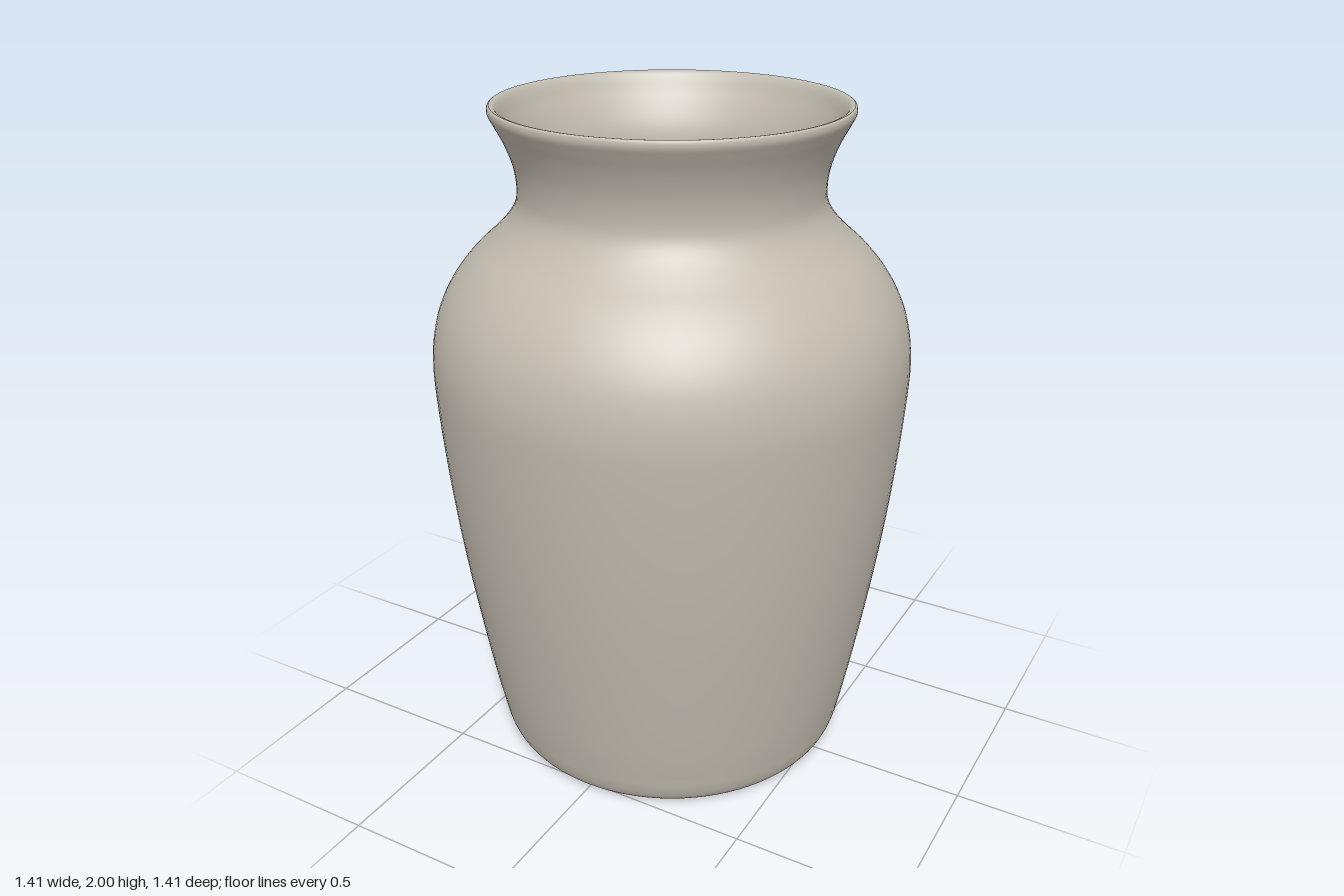
import * as THREE from 'three';

const SEGMENTS = 96;

// Smooth curve through [radius, height] pairs
function smooth(pairs, samples) {
  const pts = pairs.map(([r, y]) => new THREE.Vector3(r, y, 0));
  return new THREE.CatmullRomCurve3(pts, false, 'centripetal')
    .getPoints(samples)
    .map((p) => new THREE.Vector2(Math.max(p.x, 0), p.y));
}

export function createModel() {
  const group = new THREE.Group();
  group.name = 'vase';
  const clay = new THREE.MeshStandardMaterial({ color: 0xc2bcb0 });
  clay.name = 'warm grey clay';

  function turned(name, points) {
    const mesh = new THREE.Mesh(new THREE.LatheGeometry(points, SEGMENTS), clay);
    mesh.name = name;
    group.add(mesh);
  }

  // Underside: shallow recess inside a rounded foot ring
  turned('underside', [
    new THREE.Vector2(0, 0.025),
    new THREE.Vector2(0.2, 0.025),
    ...smooth([[0.35, 0.025], [0.365, 0.022], [0.385, 0.006], [0.41, 0], [0.48, 0]], 16),
  ]);

  // Outer wall: foot, tapering body, shoulder, neck and flared lip
  const outer = [
    [0.48, 0], [0.512, 0.006], [0.535, 0.028], [0.55, 0.065], [0.56, 0.11],
    [0.58, 0.21], [0.616, 0.42], [0.648, 0.63], [0.673, 0.83], [0.692, 1.03],
    [0.703, 1.2], [0.704, 1.27], [0.697, 1.34], [0.676, 1.42], [0.635, 1.5],
    [0.575, 1.575], [0.51, 1.635], [0.465, 1.685], [0.442, 1.73], [0.438, 1.78],
    [0.447, 1.84], [0.471, 1.905], [0.497, 1.955], [0.509, 1.98], [0.508, 1.996],
    [0.503, 2],
  ];
  turned('outerWall', smooth(outer, 110));

  // Rim and inner wall, running down to a flat floor
  const inner = [
    [0.503, 2], [0.492, 1.997], [0.482, 1.985], [0.465, 1.95], [0.44, 1.9],
    [0.417, 1.84], [0.409, 1.78], [0.413, 1.72], [0.438, 1.67], [0.485, 1.617],
    [0.55, 1.555], [0.608, 1.485], [0.648, 1.41], [0.668, 1.335], [0.674, 1.265],
    [0.673, 1.2], [0.662, 1.03], [0.643, 0.83], [0.618, 0.63], [0.586, 0.42],
    [0.55, 0.21], [0.53, 0.11], [0.51, 0.07], [0.47, 0.052], [0.42, 0.05],
  ];
  turned('innerWall', [
    ...smooth(inner, 100),
    new THREE.Vector2(0.2, 0.05),
    new THREE.Vector2(0, 0.05),
  ]);

  return group;
}
